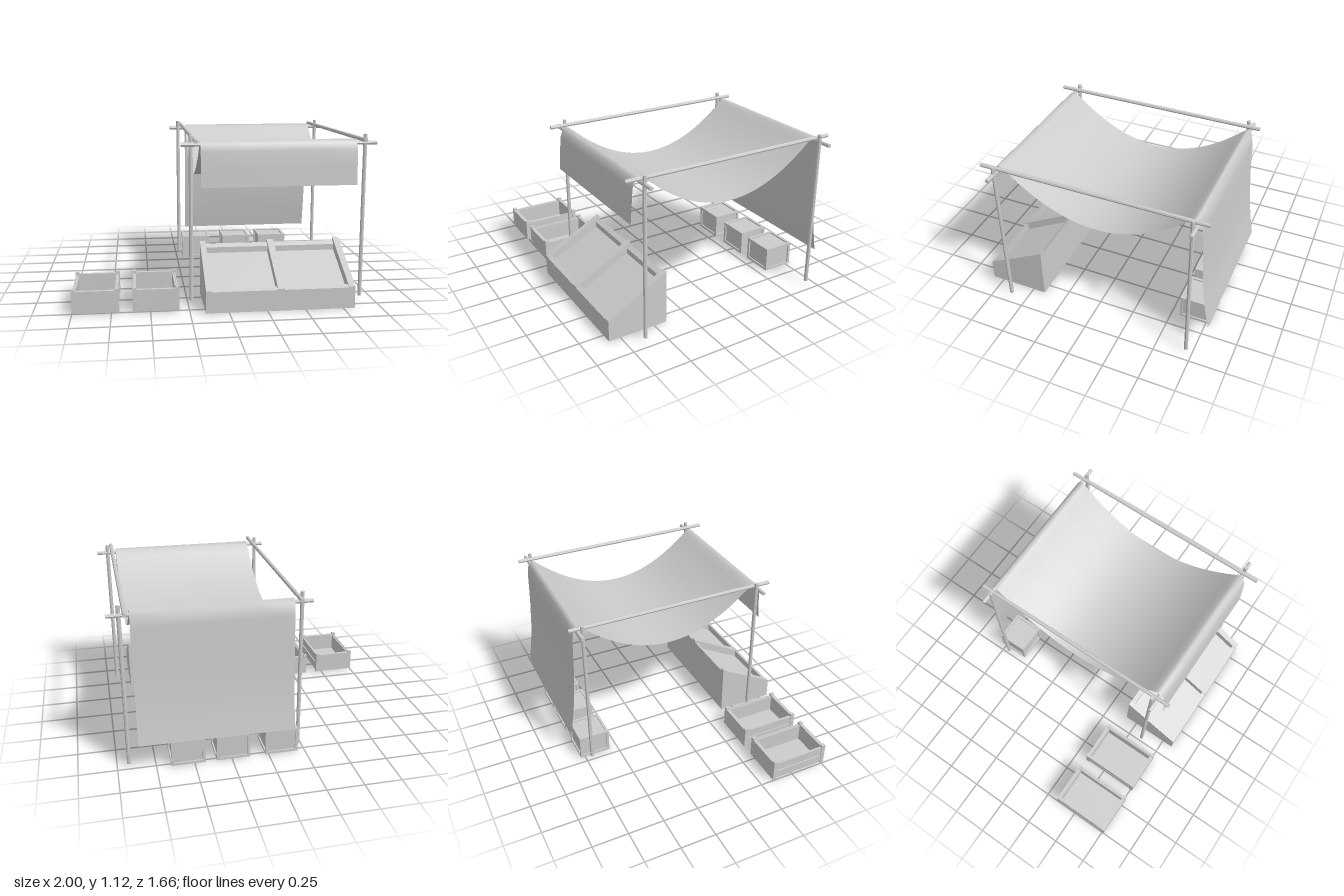
import * as THREE from 'three';

const mat = new THREE.MeshStandardMaterial({ color: 0xcccccc, flatShading: true });
const clothMat = new THREE.MeshStandardMaterial({ color: 0xcccccc, side: THREE.DoubleSide });

// Box given by its min and max corners
function box(parent, name, x0, x1, y0, y1, z0, z1) {
  const m = new THREE.Mesh(new THREE.BoxGeometry(x1 - x0, y1 - y0, z1 - z0), mat);
  m.position.set((x0 + x1) / 2, (y0 + y1) / 2, (z0 + z1) / 2);
  m.name = name;
  parent.add(m);
}

// Round pole between two points
function pole(parent, name, a, b, r = 0.0135) {
  const p = new THREE.Vector3(...a), q = new THREE.Vector3(...b);
  const d = q.clone().sub(p);
  const m = new THREE.Mesh(new THREE.CylinderGeometry(r, r, d.length(), 8), mat);
  m.position.copy(p).add(q).multiplyScalar(0.5);
  m.quaternion.setFromUnitVectors(new THREE.Vector3(0, 1, 0), d.normalize());
  m.name = name;
  parent.add(m);
}

// Solid with a [z, y] profile, running from x0 to x1
function prism(parent, name, pts, x0, x1) {
  const shape = new THREE.Shape(pts.map(([z, y]) => new THREE.Vector2(-z, y)));
  const g = new THREE.ExtrudeGeometry(shape, { depth: x1 - x0, bevelEnabled: false });
  g.rotateY(Math.PI / 2);
  g.translate(x0, 0, 0);
  const m = new THREE.Mesh(g, mat);
  m.name = name;
  parent.add(m);
}

function makeFrame() {
  const g = new THREE.Group();
  g.name = 'poleFrame';
  for (const [x, z] of [[-0.224, 0.597], [0.922, 0.622], [-0.224, -0.703], [0.922, -0.703]])
    pole(g, 'upright', [x, 0.018, z], [x, 1.118, z]);
  pole(g, 'rightRail', [-0.198, 1.088, -0.79], [-0.198, 1.088, 0.715]);
  pole(g, 'leftRail', [0.89, 1.088, -0.8], [0.89, 1.088, 0.735]);
  pole(g, 'frontCrossbar', [-0.29, 1.061, 0.622], [1, 1.061, 0.622]);
  pole(g, 'backCrossbar', [-0.29, 1.061, -0.725], [1, 1.061, -0.72]);
  return g;
}

// Sagging cloth with a short front flap and a long back flap
function makeCanopy() {
  const pts = [[0.68, 0.79], [0.672, 0.9], [0.664, 1.02], [0.647, 1.066], [0.622, 1.088]];
  for (let i = 0; i <= 32; i++) {
    const t = -1 + i / 16;
    pts.push([-0.05 - t * 0.64, 0.78 + 0.295 * t * t]);
  }
  pts.push([-0.715, 1.088], [-0.742, 1.06], [-0.754, 0.98], [-0.762, 0.76],
    [-0.778, 0.52], [-0.8, 0.35], [-0.825, 0.205]);
  const cols = 4, pos = [], idx = [];
  pts.forEach(([z, y], i) => {
    for (let j = 0; j <= cols; j++) {
      const u = j / cols;
      pos.push(-0.165 + 1.025 * u, y + 0.003 * (u - 0.5), z + 0.006 * (u - 0.5));
      if (i && j) {
        const d = i * (cols + 1) + j, c = d - 1, b = d - cols - 1, a = b - 1;
        idx.push(a, b, c, b, d, c);
      }
    }
  });
  const g = new THREE.BufferGeometry();
  g.setAttribute('position', new THREE.Float32BufferAttribute(pos, 3));
  g.setIndex(idx);
  g.computeVertexNormals();
  const m = new THREE.Mesh(g, clothMat);
  m.name = 'canopyCloth';
  return m;
}

// Sloped display counter: three ribs with two sunken trays between them
function makeCounter() {
  const g = new THREE.Group();
  g.name = 'displayCounter';
  const rib = [[0.83, 0.003], [0.41, 0.003], [0.41, 0.377], [0.83, 0.15]];
  const tray = [[0.83, 0.003], [0.41, 0.003], [0.41, 0.357], [0.44, 0.336],
    [0.44, 0.297], [0.8, 0.103], [0.8, 0.157], [0.83, 0.142]];
  for (const [a, b] of [[-0.15, -0.112], [0.315, 0.36], [0.782, 0.825]])
    prism(g, 'counterRib', rib, a, b);
  for (const [a, b] of [[-0.112, 0.315], [0.36, 0.782]])
    prism(g, 'counterTray', tray, a, b);
  return g;
}

// Open produce crate with slatted long sides
function makeOpenCrate(x) {
  const g = new THREE.Group();
  g.name = 'openCrate';
  const w = 0.15, l = 0.211;
  box(g, 'crateFloor', -w + 0.01, w - 0.01, 0.01, 0.025, -l + 0.01, l - 0.01);
  for (const s of [-1, 1]) {
    const side = (name, a, b, y0, y1, z0, z1) =>
      box(g, name, Math.min(s * a, s * b), Math.max(s * a, s * b), y0, y1, z0, z1);
    side('sideLining', w - 0.025, w - 0.012, 0.012, 0.145, -l + 0.02, l - 0.02);
    for (const y of [0.018, 0.09])
      side('sideSlat', w - 0.014, w - 0.004, y, y + 0.06, -l + 0.02, l - 0.02);
    box(g, 'endBoard', -w + 0.002, w - 0.002, 0.01, 0.155,
      s > 0 ? l - 0.025 : -l, s > 0 ? l : -l + 0.025);
    for (const e of [-1, 1])
      side('cornerPost', w - 0.025, w, 0.01, 0.167,
        e > 0 ? l - 0.027 : -l - 0.001, e > 0 ? l + 0.001 : -l + 0.027);
  }
  g.position.set(x, 0, 0.553);
  return g;
}

// Small framed crate: a core box with battens along all twelve edges
function makeFramedCrate(x) {
  const g = new THREE.Group();
  g.name = 'framedCrate';
  const h = [0.112, 0.0865, 0.11], t = 0.018, d = 0.01;
  box(g, 'cratePanels', -h[0] + d, h[0] - d, -h[1] + d, h[1] - d, -h[2] + d, h[2] - d);
  for (let axis = 0; axis < 3; axis++)
    for (const s of [-1, 1]) for (const e of [-1, 1]) {
      const size = [t, t, t], at = [0, 0, 0];
      const u = (axis + 1) % 3, v = (axis + 2) % 3;
      size[axis] = 2 * h[axis];
      at[u] = s * (h[u] - t / 2);
      at[v] = e * (h[v] - t / 2);
      const m = new THREE.Mesh(new THREE.BoxGeometry(...size), mat);
      m.position.set(...at);
      m.name = 'crateBatten';
      g.add(m);
    }
  g.position.set(x, 0.0915, -0.67);
  return g;
}

export function createModel() {
  const model = new THREE.Group();
  model.name = 'marketStall';
  model.add(makeFrame(), makeCanopy(), makeCounter());
  for (const x of [-0.85, -0.465]) model.add(makeOpenCrate(x));
  for (const x of [-0.09, 0.24, 0.54]) model.add(makeFramedCrate(x));
  return model;
}
